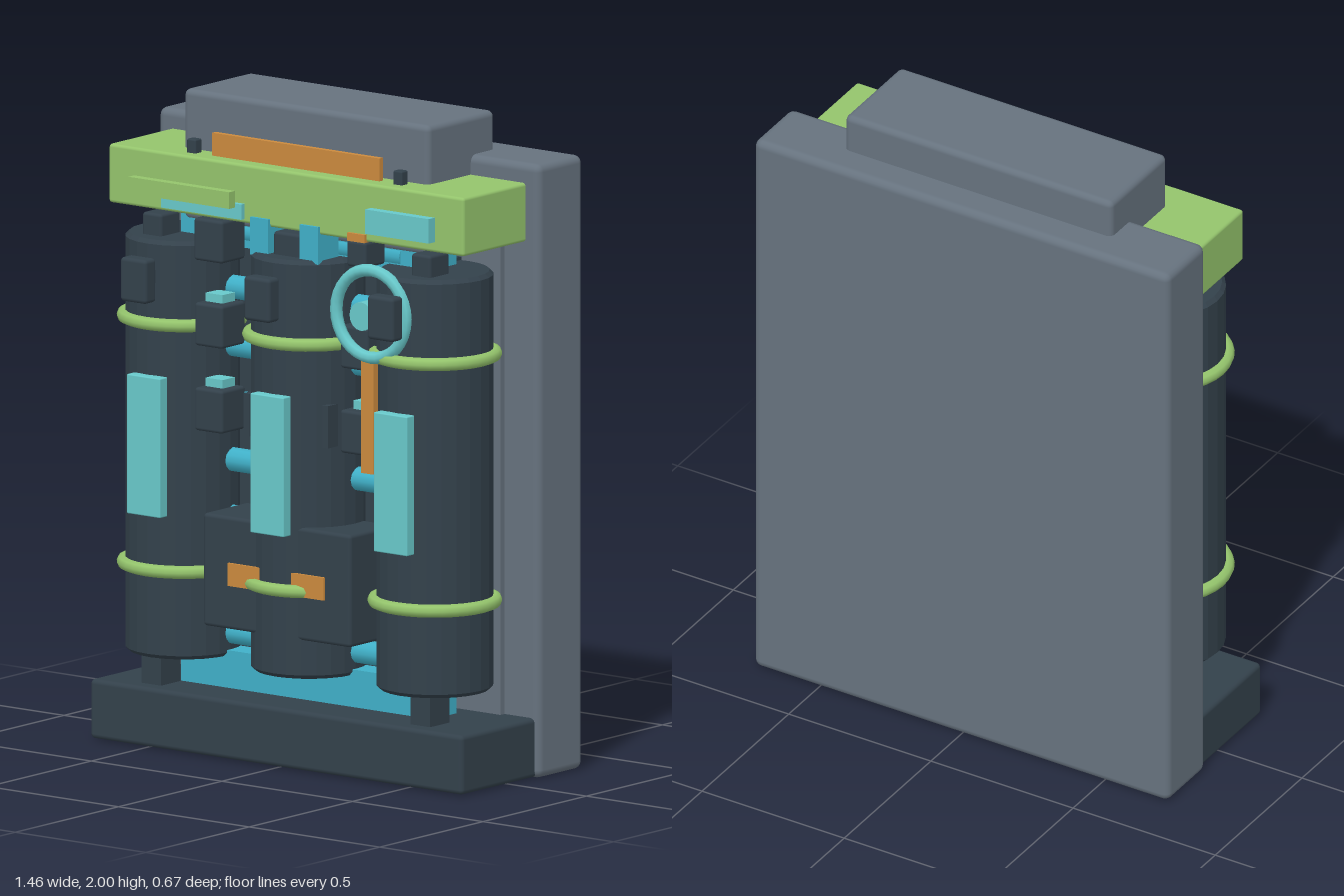
import * as THREE from 'three';
import { RoundedBoxGeometry } from 'three/addons/geometries/RoundedBoxGeometry.js';

const mat = (name, color, flatShading = false) => {
  const m = new THREE.MeshStandardMaterial({ color, flatShading });
  m.name = name;
  return m;
};

export function createModel() {
  const grey = mat('slate grey', 0x66727e);
  const dark = mat('dark steel', 0x33414b);
  const green = mat('leaf green', 0x94c46c);
  const orange = mat('amber', 0xcb8a3e);
  const aqua = mat('pale aqua', 0x68c8ca);
  const teal = mat('deep teal', 0x40b0c8);

  const root = new THREE.Group();
  root.name = 'tankCabinet';

  const add = (name, geometry, material, x = 0, y = 0, z = 0) => {
    const m = new THREE.Mesh(geometry, material);
    m.name = name;
    m.position.set(x, y, z);
    root.add(m);
    return m;
  };
  // Box given by its extents, softened when r > 0
  const box = (name, material, x0, x1, y0, y1, z0, z1, r = 0) => {
    const s = [x1 - x0, y1 - y0, z1 - z0];
    const g = r ? new RoundedBoxGeometry(...s, 2, r) : new THREE.BoxGeometry(...s);
    return add(name, g, material, (x0 + x1) / 2, (y0 + y1) / 2, (z0 + z1) / 2);
  };

  // Cabinet shell
  box('backCabinet', grey, -0.73, 0.73, 0, 1.88, -0.33, -0.11, 0.025);
  box('topHousing', grey, -0.47, 0.47, 1.6, 2, -0.23, 0.095, 0.02);
  box('innerPanel', grey, -0.6, 0.6, 0.1, 1.7, -0.15, -0.09);
  box('darkBackPlate', dark, -0.45, 0.45, 0.28, 1.57, -0.1, 0.01);
  box('base', dark, -0.713, 0.713, 0.003, 0.185, -0.25, 0.24, 0.015);
  box('header', green, -0.68, 0.68, 1.64, 1.82, -0.15, 0.19, 0.01);

  // Manifolds feeding the tanks
  box('lowerManifold', teal, -0.48, 0.48, 0.17, 0.3, -0.03, 0.09);
  box('upperManifold', teal, -0.48, 0.48, 1.54, 1.66, -0.03, 0.09);

  // Tanks with straps, label plates and gauges
  const R = 0.177, tz = 0.076;
  const profile = [[0, 0.28], [R - 0.012, 0.28], [R, 0.292], [R, 1.548], [R - 0.012, 1.56], [0, 1.56]]
    .map(([x, y]) => new THREE.Vector2(x, y));
  const tankMaterial = mat('dark tank steel', 0x33414b, true);
  for (const x of [-0.48, 0, 0.48]) {
    add('tank', new THREE.LatheGeometry(profile, 24), tankMaterial, x, 0, tz);
    for (const y of [0.55, 1.305]) {
      const strap = add('tankStrap', new THREE.TorusGeometry(0.183, 0.02, 8, 32), green, x, y, tz);
      strap.rotation.x = Math.PI / 2;
    }
    const px = x * 0.985;
    box('labelPlate', aqua, px - 0.064, px + 0.064, 0.72, 1.147, 0.245, 0.283, 0.004);
    box('gauge', dark, px - 0.05, px + 0.05, 1.38, 1.515, 0.28, 0.335, 0.012);
    box('gaugeStem', dark, px - 0.02, px + 0.02, 1.43, 1.47, 0.23, 0.29);
  }
  box('centreTankNeck', dark, -0.05, 0.05, 1.55, 1.63, 0.095, 0.19, 0.01);

  // Mirrored fittings on both sides
  for (const s of [-1, 1]) {
    const side = (name, material, a, b, ...rest) =>
      box(name, material, Math.min(s * a, s * b), Math.max(s * a, s * b), ...rest);
    side('tankFoot', dark, 0.478, 0.552, 0.18, 0.29, 0.095, 0.19);
    side('tankNeck', dark, 0.478, 0.552, 1.55, 1.627, 0.095, 0.19, 0.01);
    side('feedStub', teal, 0.06, 0.13, 1.55, 1.665, 0.1, 0.2);
    side('housingPost', dark, 0.378, 0.412, 1.8, 1.862, 0.118, 0.15, 0.005);
    // Cross pipes between neighbouring tanks
    for (let i = 0; i < 8; i++) {
      const pipe = add('crossPipe', new THREE.CylinderGeometry(0.037, 0.037, 0.24, 12), teal,
        s * 0.24, 0.352 + i * 0.176, 0.06);
      pipe.rotation.z = Math.PI / 2;
    }
    // Valve blocks in the gaps
    for (const y of [1.055, 1.315]) {
      side('valveBlock', dark, 0.225, 0.332, y - 0.066, y + 0.066, 0.1, 0.215, 0.01);
      side('valveCap', aqua, 0.25, 0.315, y + 0.06, y + 0.092, 0.12, 0.18);
    }
    side('clampPlate', dark, 0.14, 0.162, 0.99, 1.12, 0.12, 0.19);
  }
  box('upperValveBlock', dark, -0.335, -0.225, 1.51, 1.64, 0.1, 0.215, 0.01);
  box('upperValveBlock', dark, 0.238, 0.312, 1.56, 1.64, 0.1, 0.2, 0.01);
  box('upperValveTag', orange, 0.242, 0.308, 1.638, 1.663, 0.12, 0.2);

  // Control box wrapped around the centre tank
  box('controlBox', dark, -0.285, 0.28, 0.4, 0.745, 0.02, 0.233, 0.012);
  for (const s of [-1, 1])
    box('controlBoxTag', orange, s * 0.122 - 0.062, s * 0.122 + 0.062, 0.535, 0.605, 0.225, 0.241);

  // Header plates and housing grille
  box('headerNamePlate', green, -0.555, -0.17, 1.692, 1.743, 0.222, 0.25);
  box('headerStrip', aqua, -0.465, -0.158, 1.653, 1.7, 0.185, 0.206);
  box('headerDisplay', aqua, 0.35, 0.594, 1.68, 1.755, 0.22, 0.25);
  box('housingGrille', orange, -0.32, 0.32, 1.8, 1.89, 0.124, 0.142);

  // Hand wheel and lever
  const wx = 0.376, wy = 1.438, wz = 0.252;
  add('wheelRim', new THREE.TorusGeometry(0.134, 0.019, 8, 32), aqua, wx, wy, wz);
  const hub = add('wheelHub', new THREE.CylinderGeometry(0.044, 0.044, 0.1, 16), aqua, wx, wy, wz);
  hub.rotation.x = Math.PI / 2;
  box('lever', orange, 0.324, 0.371, 0.943, 1.31, 0.17, 0.236);

  return root;
}
